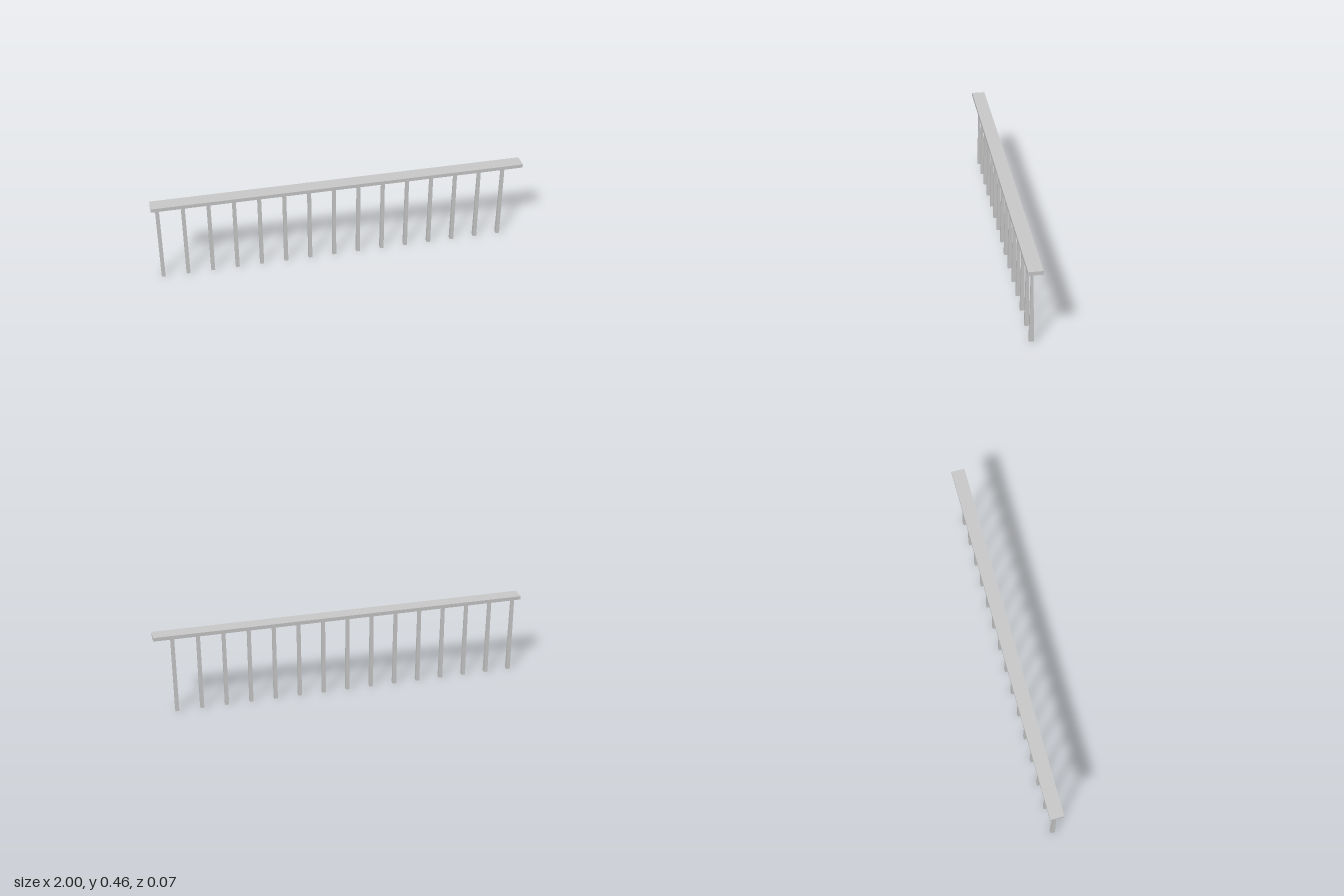
import * as THREE from 'three';

const RAIL_BOTTOM = 0.44, RAIL_TOP = 0.46;
const POSTS = 15, SPACING = 2 / 15, FIRST_X = -0.967;

// Square open-ended post: constant width in x, tapering in z toward the top
function postGeometry(width, baseDepth, topDepth, height) {
  const g = new THREE.CylinderGeometry(Math.SQRT1_2, Math.SQRT1_2, height, 4, 1, true);
  g.rotateY(Math.PI / 4);
  g.translate(0, height / 2, 0);
  const p = g.attributes.position;
  for (let i = 0; i < p.count; i++) {
    const depth = THREE.MathUtils.lerp(baseDepth, topDepth, p.getY(i) / height);
    p.setX(i, p.getX(i) * width);
    p.setZ(i, p.getZ(i) * depth);
  }
  g.computeVertexNormals();
  return g;
}

export function createModel() {
  const group = new THREE.Group();
  group.name = 'railing';
  const material = new THREE.MeshStandardMaterial({ color: 0xcccccc, flatShading: true });
  const postMaterial = material.clone();
  postMaterial.side = THREE.DoubleSide;

  // Flat handrail board
  const rail = new THREE.Mesh(new THREE.BoxGeometry(2, RAIL_TOP - RAIL_BOTTOM, 0.073), material);
  rail.name = 'handrail';
  rail.position.y = (RAIL_TOP + RAIL_BOTTOM) / 2;
  group.add(rail);

  // Evenly spaced posts
  const geometry = postGeometry(0.02, 0.024, 0.008, RAIL_BOTTOM);
  for (let i = 0; i < POSTS; i++) {
    const post = new THREE.Mesh(geometry, postMaterial);
    post.name = `post${i + 1}`;
    post.position.x = FIRST_X + i * SPACING;
    group.add(post);
  }
  return group;
}
